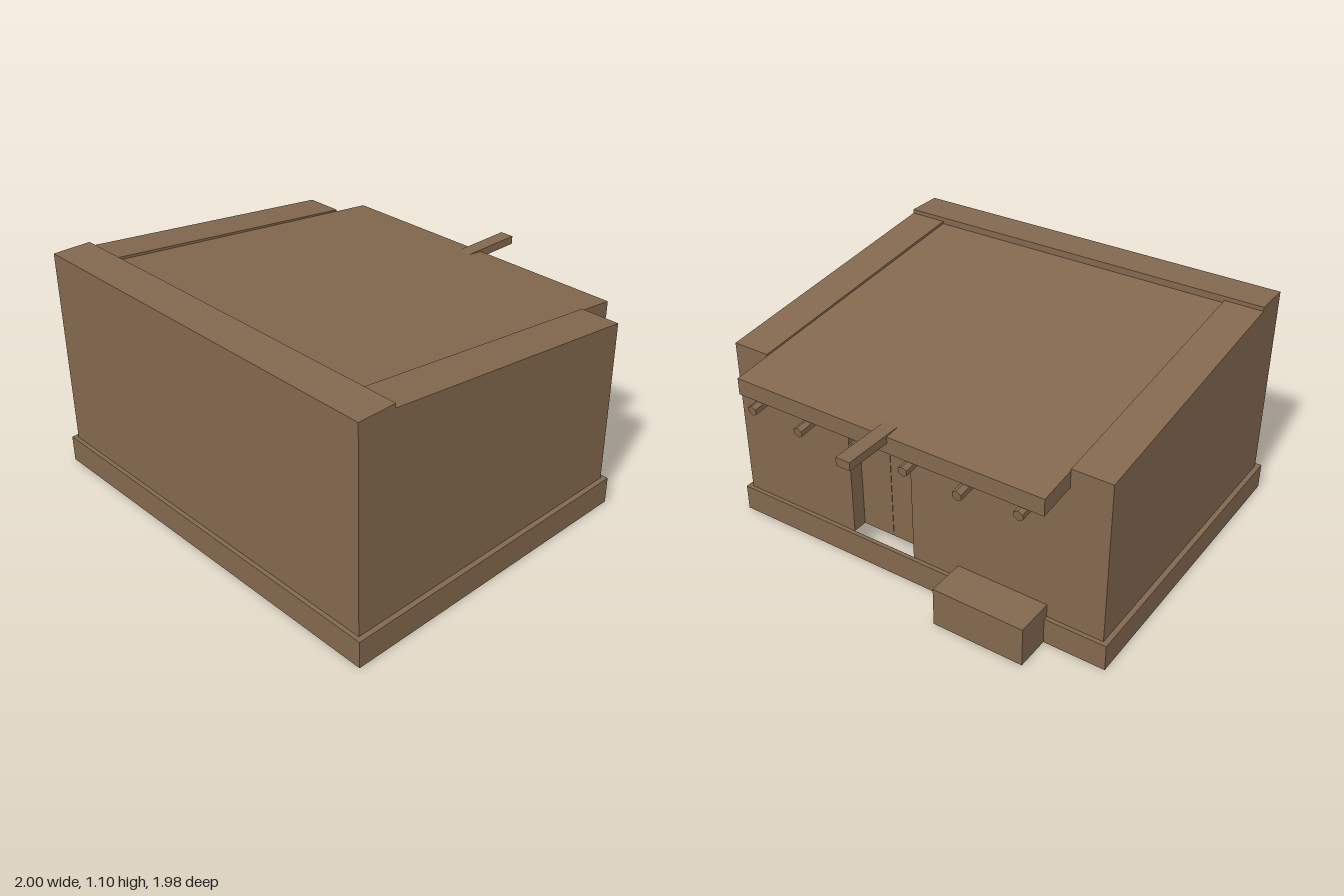
import * as THREE from 'three';

const clay = new THREE.MeshStandardMaterial({ color: 0x82684e, side: THREE.DoubleSide });
clay.name = 'clay brown';

const HALF = 0.975, FRONT = 0.965, BACK = -0.565;   // wall shell
const PANEL = 0.785;                                // half width of roof panel
const BASE_TOP = 0.13;

export function createModel() {
  const model = new THREE.Group();

  function add(parent, name, geometry) {
    const mesh = new THREE.Mesh(geometry, clay);
    mesh.name = name;
    parent.add(mesh);
    return mesh;
  }
  function group(name) {
    const g = new THREE.Group();
    g.name = name;
    model.add(g);
    return g;
  }
  // flat four-sided sheet, corners in order
  function quad(...corners) {
    const g = new THREE.BufferGeometry();
    g.setAttribute('position', new THREE.Float32BufferAttribute(corners.flat(), 3));
    g.setIndex([0, 1, 2, 0, 2, 3]);
    g.computeVertexNormals();
    return g;
  }
  // box between limits, leaving out faces (0 +x, 1 -x, 2 +y, 3 -y, 4 +z, 5 -z)
  function box([x0, x1], [y0, y1], [z0, z1], omit = []) {
    const g = new THREE.BoxGeometry(x1 - x0, y1 - y0, z1 - z0);
    g.translate((x0 + x1) / 2, (y0 + y1) / 2, (z0 + z1) / 2);
    const index = Array.from(g.index.array);
    g.setIndex(index.filter((_, i) => !omit.includes(Math.floor(i / 6))));
    g.clearGroups();
    return g;
  }
  const shape = (pts) => new THREE.Shape(pts.map(([x, y]) => new THREE.Vector2(x, y)));
  const rect = (x0, x1, y0, y1) => [[x0, y0], [x1, y0], [x1, y1], [x0, y1]];

  // base plinth: open ring with a narrow ledge
  const base = group('base');
  add(base, 'plinth', box([-1, 1], [0, BASE_TOP], [-0.585, 0.985], [2, 3]));
  const ledge = shape(rect(-1, 1, -0.985, 0.585));
  ledge.holes.push(shape(rect(-HALF, HALF, -FRONT, -BACK)));
  add(base, 'ledge', new THREE.ShapeGeometry(ledge).rotateX(-Math.PI / 2).translate(0, BASE_TOP, 0));

  // walls
  const walls = group('walls');
  add(walls, 'frontWall', quad([-HALF, BASE_TOP, FRONT], [HALF, BASE_TOP, FRONT], [HALF, 1.095, FRONT], [-HALF, 1.095, FRONT]));
  const side = shape([[-FRONT, BASE_TOP], [-BACK, BASE_TOP], [-BACK, 0.925], [-0.78, 1.075], [-0.78, 1.095], [-FRONT, 1.095]]);
  for (const s of [-1, 1]) {
    add(walls, s > 0 ? 'leftWall' : 'rightWall',
      new THREE.ShapeGeometry(side).rotateY(s * Math.PI / 2).scale(1, 1, s).translate(s * HALF, 0, 0));
    // sloping wall top and its inner lip beside the roof panel
    add(walls, 'sideRoofStrip', quad([s * PANEL, 1.075, 0.78], [s * HALF, 1.075, 0.78], [s * HALF, 0.925, BACK], [s * PANEL, 0.925, BACK]));
    add(walls, 'stripLip', quad([s * PANEL, 1.075, 0.78], [s * PANEL, 0.925, BACK], [s * PANEL, 0.88, BACK], [s * PANEL, 1.03, 0.78]));
  }
  add(walls, 'parapetTop', quad([-HALF, 1.095, FRONT], [HALF, 1.095, FRONT], [HALF, 1.095, 0.78], [-HALF, 1.095, 0.78]));
  add(walls, 'parapetBack', quad([HALF, 1.04, 0.78], [-HALF, 1.04, 0.78], [-HALF, 1.095, 0.78], [HALF, 1.095, 0.78]));

  // back wall, lowered where the roof panel passes, with the doorway cut out
  const back = shape([[-HALF, BASE_TOP], [HALF, BASE_TOP], [HALF, 0.925], [PANEL, 0.925], [PANEL, 0.87],
    [-PANEL, 0.87], [-PANEL, 0.925], [-HALF, 0.925]]);
  back.holes.push(shape(rect(0, 0.34, BASE_TOP + 0.0005, 0.81)));
  add(walls, 'backWall', new THREE.ShapeGeometry(back).translate(0, 0, BACK));

  // recessed doorway with two leaves and no threshold
  const door = group('door');
  add(door, 'doorFrame', box([0, 0.34], [BASE_TOP, 0.81], [BACK, -0.485], [3, 4, 5]));
  for (const x of [0, 0.171]) {
    add(door, 'doorLeaf', box([x, x + 0.169], [BASE_TOP, 0.81], [-0.49, -0.48]));
  }

  // sloping roof panel that overhangs the back
  const profile = shape([[-0.78, 1.062], [-0.78, 0.982], [0.755, 0.815], [0.755, 0.896]]);
  const roof = new THREE.ExtrudeGeometry(profile, { depth: 2 * PANEL, bevelEnabled: false });
  add(model, 'roofPanel', roof.rotateY(Math.PI / 2).translate(-PANEL, 0, 0));

  // roof poles poking out under the overhang
  const poles = group('roofPoles');
  const ends = [[-0.68, -0.775], [-0.41, -0.8], [-0.135, -0.79], [0.135, -0.773], [0.405, -0.808], [0.68, -0.792]];
  for (const [x, z] of ends) {
    const length = BACK - z;
    const g = new THREE.CylinderGeometry(0.025, 0.025, length, 6).toNonIndexed();
    g.computeVertexNormals();
    const pole = add(poles, 'roofPole', g);
    pole.rotation.x = Math.PI / 2 - 0.11;
    pole.position.set(x, 0.809 - 0.11 * length / 2, (BACK + z) / 2);
  }

  // drain spout
  add(model, 'spout', box([-0.035, 0.035], [0.865, 0.905], [-0.99, -0.64]));

  // step block beside the door, open underneath
  add(model, 'stepBlock', box([-0.7, -0.245], [0, 0.195], [-0.755, BACK], [3]));

  return model;
}
